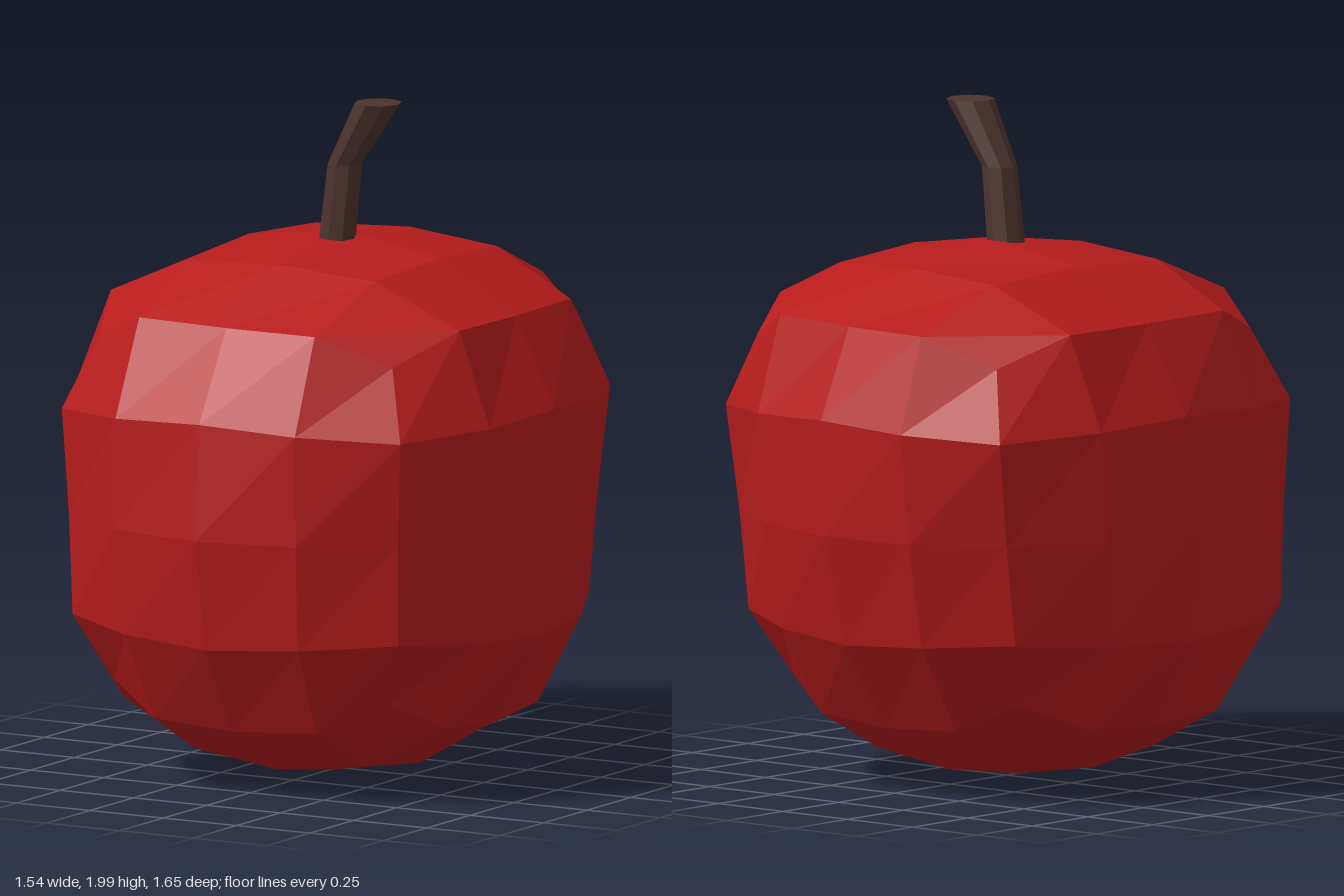
import * as THREE from 'three';

// One coordinate of a cube point (u along the axis, v and w across) rounded towards a ball
function rounded(u, v, w) {
  const a = Math.abs(v), b = Math.abs(w);
  if (Math.abs(u) < 0.9) return u * (0.908 - 0.11 * (a + b));
  return u * ((1 - 0.268 * a * a) * (1 - 0.268 * b * b) + 0.04 * a * a * b * b);
}

// Fruit body: a rounded 4 x 4 x 4 cube, wider at the top and slightly skewed
function makeBody() {
  const geometry = new THREE.BoxGeometry(2, 2, 2, 4, 4, 4);
  const pos = geometry.attributes.position;
  for (let i = 0; i < pos.count; i++) {
    const u = pos.getX(i), v = pos.getY(i), w = pos.getZ(i);
    const nx = rounded(u, v, w), ny = rounded(v, w, u), nz = rounded(w, u, v);
    const top = ny > 0;
    const corner = 1 + (1.5 + 0.7 * ny) * (nx * ny * nz) ** 2;
    const x = nx * corner * (0.77 + (top ? 0.11 * ny : 0));
    const y = ny * corner * 0.795 * (1 + (top ? 0.1 : 0.06) * (1 - ny * ny));
    const z = nz * corner * (0.815 + (top ? 0.14 : 0.05) * ny);
    const skew = x * (0.05 - 0.06 * nz + 0.05 * ny) - 0.045 * ny;
    pos.setXYZ(i, x, 0.803 + y, z + skew);
  }
  const flat = geometry.toNonIndexed();
  flat.computeVertexNormals();
  return flat;
}

// Stem: an eight-sided cylinder bent through three rings
function makeStem() {
  const rings = [
    { x: -0.002, y: 1.57, r: 0.056 },
    { x: 0.025, y: 1.81, r: 0.052 },
    { x: 0.138, y: 2.0, r: 0.071 },
  ];
  const geometry = new THREE.CylinderGeometry(1, 1, 2, 8, 2);
  const pos = geometry.attributes.position;
  for (let i = 0; i < pos.count; i++) {
    const ring = rings[Math.round(pos.getY(i)) + 1];
    pos.setXYZ(i, ring.x + pos.getX(i) * ring.r, ring.y, pos.getZ(i) * ring.r);
  }
  const flat = geometry.toNonIndexed();
  flat.computeVertexNormals();
  return flat;
}

export function createModel() {
  const model = new THREE.Group();
  model.name = 'fruit';
  const add = (name, geometry, color) => {
    const material = new THREE.MeshStandardMaterial({ color, flatShading: true });
    const mesh = new THREE.Mesh(geometry, material);
    mesh.name = name;
    model.add(mesh);
  };
  add('body', makeBody(), 0xb71c1c);
  add('stem', makeStem(), 0x4e342e);
  return model;
}
